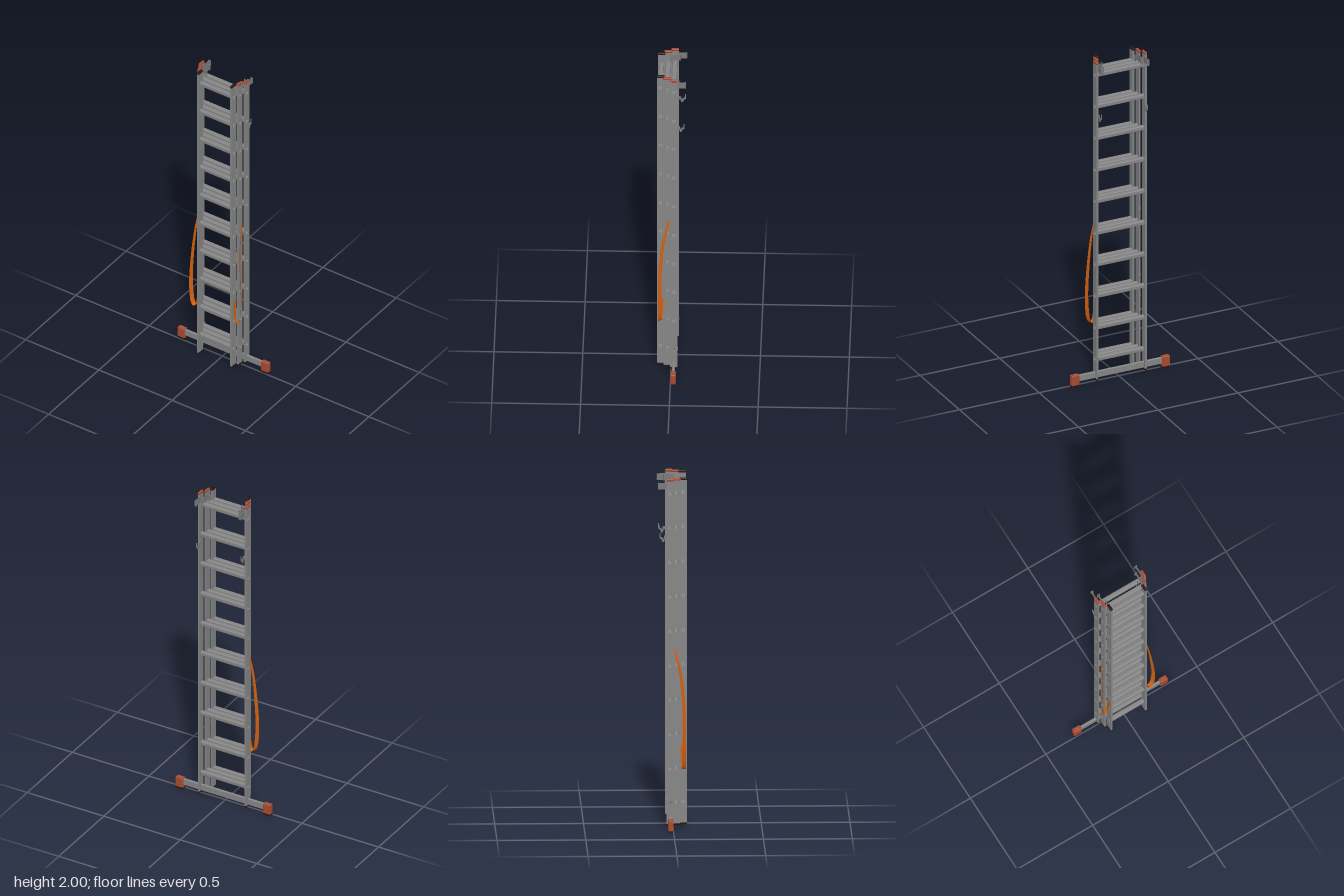
import * as THREE from 'three';
import { RoundedBoxGeometry } from 'three/addons/geometries/RoundedBoxGeometry.js';

const mat = (name, color, side = THREE.FrontSide) => {
  const m = new THREE.MeshStandardMaterial({ color, side });
  m.name = name;
  return m;
};

// rounded square outline centred on (0, y)
function roundedSquare(path, s, r, y = 0) {
  const h = s / 2;
  path.moveTo(-h + r, y - h);
  path.lineTo(h - r, y - h);
  path.quadraticCurveTo(h, y - h, h, y - h + r);
  path.lineTo(h, y + h - r);
  path.quadraticCurveTo(h, y + h, h - r, y + h);
  path.lineTo(-h + r, y + h);
  path.quadraticCurveTo(-h, y + h, -h, y + h - r);
  path.lineTo(-h, y - h + r);
  path.quadraticCurveTo(-h, y - h, -h + r, y - h);
  return path;
}

// extrude a (-z, y) profile along x, centred on x = 0
function extrudeX(shape, length, curveSegments = 3) {
  const g = new THREE.ExtrudeGeometry(shape, { depth: length, bevelEnabled: false, curveSegments });
  g.translate(0, 0, -length / 2);
  g.rotateY(Math.PI / 2);
  return g;
}

export function createModel() {
  const root = new THREE.Group();
  root.name = 'tripleLadder';

  const aluminium = mat('aluminium', 0x868686);
  const steel = mat('steel', 0x7a7a7a);
  const terracotta = mat('terracotta plastic', 0xa84a30);
  const black = mat('dark rubber', 0x2b1613);
  const orange = mat('orange webbing', 0xd2600f, THREE.DoubleSide);

  const add = (parent, name, geo, material, x = 0, y = 0, z = 0) => {
    const m = new THREE.Mesh(geo, material);
    m.name = name;
    m.position.set(x, y, z);
    parent.add(m);
    return m;
  };
  const box = (w, h, d) => new THREE.BoxGeometry(w, h, d);

  const rungYs = Array.from({ length: 10 }, (_, i) => 0.145 + i * 0.197);
  const stileW = 0.012, stileD = 0.041;

  // stile profile with a square opening for each hollow rung
  const stileShape = new THREE.Shape([
    new THREE.Vector2(-stileD / 2, 0.024), new THREE.Vector2(stileD / 2, 0.024),
    new THREE.Vector2(stileD / 2, 1.99), new THREE.Vector2(-stileD / 2, 1.99),
  ]);
  rungYs.forEach(y => stileShape.holes.push(roundedSquare(new THREE.Path(), 0.021, 0.002, y)));
  const stileGeo = extrudeX(stileShape, stileW, 1);

  const rungShape = roundedSquare(new THREE.Shape(), 0.026, 0.007);
  rungShape.holes.push(roundedSquare(new THREE.Path(), 0.021, 0.003));

  // three nested sections, rear one widest
  const sections = [
    { name: 'rearSection', x: 0.153, z: -0.016, cap: terracotta },
    { name: 'middleSection', x: 0.133, z: 0.022, cap: terracotta },
    { name: 'frontSection', x: 0.113, z: 0.059, cap: black },
  ];
  const topCap = new RoundedBoxGeometry(0.016, 0.014, 0.044, 2, 0.005);
  const bottomCap = new RoundedBoxGeometry(0.015, 0.014, 0.043, 2, 0.005);
  for (const s of sections) {
    const g = new THREE.Group();
    g.name = s.name;
    g.position.z = s.z;
    root.add(g);
    const rungGeo = extrudeX(rungShape, 2 * s.x - stileW);
    rungYs.forEach(y => add(g, 'rung', rungGeo, aluminium, 0, y));
    for (const side of [-1, 1]) {
      add(g, 'stile', stileGeo, aluminium, side * s.x);
      add(g, 'topCap', topCap, s.cap, side * s.x, 1.993);
      add(g, 'bottomCap', bottomCap, black, side * s.x, 0.022);
    }
  }

  // stabiliser bar with plastic feet
  const bar = new THREE.Group();
  bar.name = 'stabiliser';
  bar.position.z = -0.016;
  root.add(bar);
  add(bar, 'stabiliserBar', new RoundedBoxGeometry(0.54, 0.04, 0.015, 2, 0.004), aluminium, 0, 0.048);
  for (const side of [-1, 1]) {
    add(bar, 'foot', new RoundedBoxGeometry(0.05, 0.064, 0.03, 2, 0.006), terracotta, side * 0.285, 0.041);
    add(bar, 'footPad', box(0.046, 0.014, 0.026), black, side * 0.285, 0.007);
    const bolt = add(bar, 'footBolt', new THREE.CylinderGeometry(0.005, 0.005, 0.003, 10), steel, side * 0.285, 0.0735);
    bolt.position.y = 0.0735;
  }

  // J-shaped locking hook, drawn in (-z, y)
  const hookShape = new THREE.Shape();
  [[0.026, 1.655], [0.046, 1.655], [0.05, 1.638], [0.06, 1.638], [0.066, 1.654], [0.076, 1.66],
    [0.076, 1.69], [0.071, 1.69], [0.069, 1.667], [0.058, 1.662], [0.054, 1.652], [0.05, 1.675], [0.026, 1.675]]
    .forEach(([x, y], i) => (i ? hookShape.lineTo(x, y) : hookShape.moveTo(x, y)));
  const hookGeo = extrudeX(hookShape, 0.005);

  // strap ribbon: centre line points with the width running mainly along z
  const path = new THREE.CatmullRomCurve3([
    [0.142, 1.02, 0.012], [0.147, 0.95, 0.027], [0.152, 0.87, 0.044], [0.162, 0.7, 0.06], [0.171, 0.52, 0.063],
    [0.168, 0.42, 0.062], [0.16, 0.36, 0.061], [0.146, 0.337, 0.06], [0.132, 0.35, 0.06], [0.124, 0.4, 0.058],
    [0.121, 0.47, 0.055],
  ].map(p => new THREE.Vector3(...p)));
  const strapGeo = side => {
    const n = 48, pos = [], idx = [];
    for (let i = 0; i <= n; i++) {
      const t = i / n, p = path.getPoint(t);
      const half = 0.006 + 0.007 * Math.min(1, t * 2);
      const twist = 0.5 * Math.sin(t * Math.PI);
      const dx = Math.sin(twist) * half, dz = Math.cos(twist) * half;
      pos.push(side * (p.x - dx), p.y, p.z - dz, side * (p.x + dx), p.y, p.z + dz);
      if (i < n) {
        const a = 2 * i;
        idx.push(a, a + 1, a + 2, a + 1, a + 3, a + 2);
      }
    }
    const g = new THREE.BufferGeometry();
    g.setAttribute('position', new THREE.Float32BufferAttribute(pos, 3));
    g.setIndex(idx);
    g.computeVertexNormals();
    return g;
  };

  for (const side of [-1, 1]) {
    // guide brackets: a plate running back, ended by a turned flange
    for (const [x, z] of [[0.146, -0.083], [0.125, -0.047]]) {
      add(root, 'guidePlate', box(0.003, 0.038, 0.056), steel, side * x, 1.957, z + 0.028);
      add(root, 'guideFlange', box(0.016, 0.038, 0.002), steel, side * (x - 0.002), 1.957, z);
    }
    add(root, 'innerGuidePlate', box(0.002, 0.038, 0.018), steel, side * 0.106, 1.957, 0.004);
    add(root, 'lockingHook', hookGeo, steel, side * 0.145);
    add(root, 'lowerLatch', box(0.004, 0.022, 0.03), steel, side * 0.145, 0.145, -0.024);
    add(root, 'strap', strapGeo(side), orange);
  }
  return root;
}
